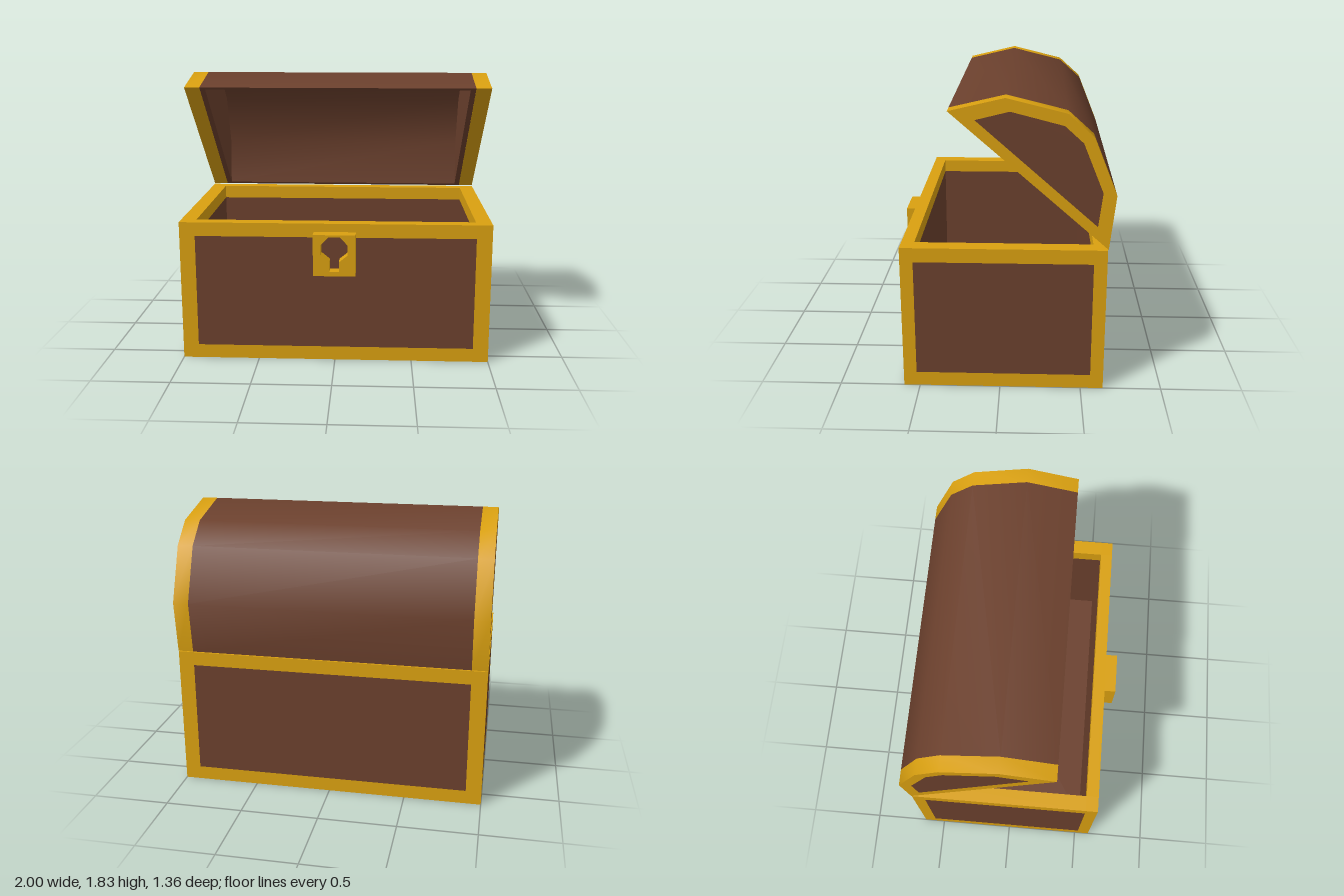
import * as THREE from 'three';
import { toCreasedNormals } from 'three/addons/utils/BufferGeometryUtils.js';

const gold = new THREE.MeshStandardMaterial({ color: 0xd9a010 });
const wood = new THREE.MeshStandardMaterial({ color: 0x6b402d });

function add(parent, name, geometry, material) {
  const mesh = new THREE.Mesh(geometry, material);
  mesh.name = name;
  parent.add(mesh);
}

// Box given by its minimum and maximum corners
function block(parent, name, material, [x0, y0, z0], [x1, y1, z1]) {
  const geometry = new THREE.BoxGeometry(x1 - x0, y1 - y0, z1 - z0);
  geometry.translate((x0 + x1) / 2, (y0 + y1) / 2, (z0 + z1) / 2);
  add(parent, name, geometry, material);
}

const toPoints = (list) => list.map(([a, b]) => new THREE.Vector2(a, b));

// Side profile of [z, y] points, extruded along x from x0 to x1
function sideExtrude(profile, x0, x1, hole) {
  const flip = (list) => toPoints(list.map(([z, y]) => [-z, y]));
  const shape = new THREE.Shape(flip(profile));
  if (hole) shape.holes.push(new THREE.Path(flip(hole)));
  const geometry = new THREE.ExtrudeGeometry(shape, { depth: x1 - x0, bevelEnabled: false });
  geometry.rotateY(Math.PI / 2).translate(x0, 0, 0);
  return toCreasedNormals(geometry, Math.PI / 4);
}

function createBase() {
  const base = new THREE.Group();
  base.name = 'base';
  const H = 0.92, F = 0.60, B = -0.64; // height, front, back
  const bx = 0.1, by = 0.09, bz = 0.08; // frame bar widths
  const xi = 1 - bx, top = H - by, fi = F - bz, bi = B + bz;

  for (const [z0, z1, side] of [[fi, F, 'front'], [B, bi, 'back']]) {
    for (const [x0, x1] of [[-1, -xi], [xi, 1]]) {
      block(base, side + 'CornerPost', gold, [x0, 0, z0], [x1, H, z1]);
    }
    block(base, side + 'BottomRail', gold, [-xi, 0, z0], [xi, by, z1]);
    block(base, side + 'TopRail', gold, [-xi, top, z0], [xi, H, z1]);
    block(base, side + 'Panel', wood, [-xi, by, z0], [xi, top, z1]);
  }
  for (const [x0, x1, side] of [[-1, -xi, 'right'], [xi, 1, 'left']]) {
    block(base, side + 'BottomRail', gold, [x0, 0, bi], [x1, by, fi]);
    block(base, side + 'TopRail', gold, [x0, top, bi], [x1, H, fi]);
    block(base, side + 'Panel', wood, [x0, by, bi], [x1, top, fi]);
  }
  block(base, 'floor', wood, [-xi, 0, bi], [xi, by, fi]);
  return base;
}

function createLid() {
  const lid = new THREE.Group();
  lid.name = 'lid';
  const outer = [[0.295, 1.75], [-0.035, 1.828], [-0.39, 1.74], [-0.54, 1.605], [-0.68, 1.26], [-0.643, 0.926]];
  const inner = [[0.275, 1.735], [-0.035, 1.809], [-0.381, 1.723], [-0.525, 1.594], [-0.66, 1.257], [-0.626, 0.941]];
  const panel = [[0.14, 1.70], [-0.06, 1.75], [-0.37, 1.67], [-0.48, 1.57], [-0.60, 1.275], [-0.575, 1.068]];

  // Thin curved shell, open underneath
  add(lid, 'lidShell', sideExtrude([...outer, ...inner.slice().reverse()], -0.9, 0.9), wood);

  // Closed ends: metal frame, flush panel and inner lining
  for (const [s, side] of [[-1, 'right'], [1, 'left']]) {
    const span = (a, b) => (s > 0 ? [a, b] : [-b, -a]);
    add(lid, side + 'LidFrame', sideExtrude(outer, ...span(0.9, 1), panel), gold);
    add(lid, side + 'LidPanel', sideExtrude(panel, ...span(0.9, 1)), wood);
    add(lid, side + 'LidLining', sideExtrude(inner, ...span(0.865, 0.9)), wood);
  }
  return lid;
}

// Lock plate with a keyhole cut through it
function createLock() {
  const half = [[0.035, 0.852], [0.085, 0.80], [0.085, 0.735], [0.03, 0.69], [0.03, 0.625]];
  const shape = new THREE.Shape(toPoints([[-0.135, 0.597], [0.135, 0.597], [0.135, 0.866], [-0.135, 0.866]]));
  const mirrored = half.map(([x, y]) => [-x, y]).reverse();
  shape.holes.push(new THREE.Path(toPoints([...half, ...mirrored])));
  const geometry = new THREE.ExtrudeGeometry(shape, { depth: 0.08, bevelEnabled: false });
  return geometry.translate(0, 0, 0.6);
}

export function createModel() {
  const chest = new THREE.Group();
  chest.name = 'chest';
  chest.add(createBase(), createLid());
  add(chest, 'lockPlate', createLock(), gold);
  return chest;
}
